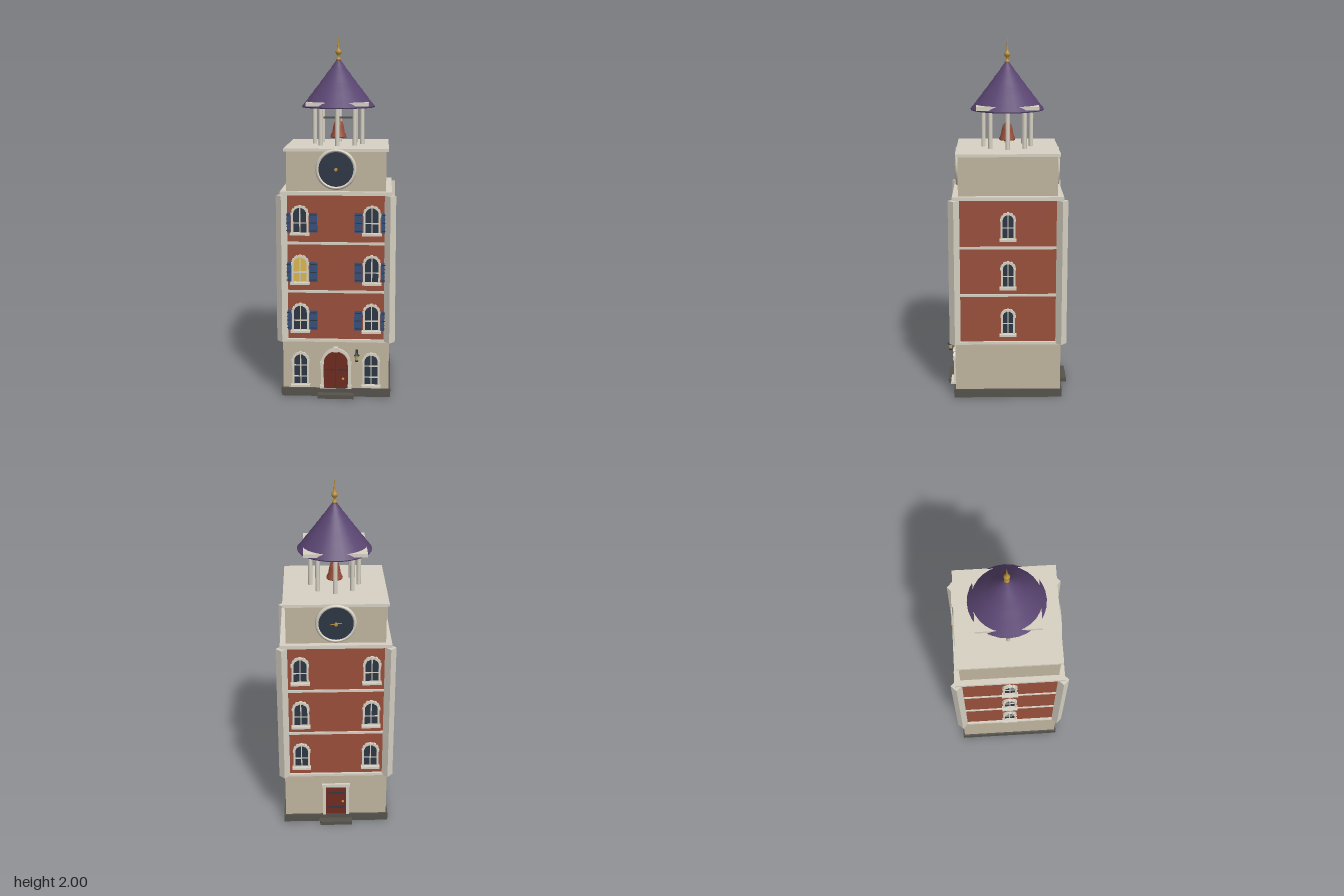
import * as THREE from 'three';

const mat = (name, color, extra = {}) => {
  const m = new THREE.MeshStandardMaterial({ color, ...extra });
  m.name = name;
  return m;
};

export function createModel() {
  const M = {
    stone: mat('stone', 0xc0b59f),
    trim: mat('pale trim', 0xd8d2c4),
    brick: mat('brick', 0x9a4f3b),
    slate: mat('dark slate', 0x56534d),
    roof: mat('purple roof', 0x594470, { side: THREE.DoubleSide }),
    glass: mat('dark glass', 0x2c3644),
    gold: mat('brass', 0xb8903a),
    lit: mat('lit window', 0xdcb850),
    blue: mat('shutter blue', 0x35507c),
    door: mat('door red', 0x6f2c1f),
  };
  const root = new THREE.Group();
  root.name = 'clockTower';

  const add = (parent, name, geo, m, x = 0, y = 0, z = 0) => {
    const mesh = new THREE.Mesh(geo, m);
    mesh.name = name;
    mesh.position.set(x, y, z);
    parent.add(mesh);
    return mesh;
  };
  const box = (p, name, m, w, h, d, x, y, z) => add(p, name, new THREE.BoxGeometry(w, h, d), m, x, y, z);
  // box standing on y0, reaching y1, square in plan
  const slab = (name, m, half, y0, y1) => box(root, name, m, half * 2, y1 - y0, half * 2, 0, (y0 + y1) / 2, 0);
  const group = (parent, name, x, y, z) => {
    const g = new THREE.Group();
    g.name = name;
    g.position.set(x, y, z);
    parent.add(g);
    return g;
  };

  // Round-headed outline; h is the full height
  const trace = (path, r, y0, h) => {
    path.moveTo(-r, y0);
    path.lineTo(r, y0);
    path.lineTo(r, h - r);
    path.absarc(0, h - r, r, 0, Math.PI, false);
    path.lineTo(-r, y0);
    return path;
  };
  const extrude = (shape, depth) =>
    new THREE.ExtrudeGeometry(shape, { depth, bevelEnabled: false, curveSegments: 10 });
  const archPanel = (r, y0, h, depth) => extrude(trace(new THREE.Shape(), r, y0, h), depth);
  const archFrame = (ro, ri, y0, h, depth) => {
    const s = trace(new THREE.Shape(), ro, 0, h);
    s.holes.push(trace(new THREE.Path(), ri, y0, h - (ro - ri)));
    return extrude(s, depth);
  };

  // Wall groups: local +z points out of each face
  const walls = [0, 1, 2, 3].map((i) => {
    const g = group(root, ['frontWall', 'leftWall', 'backWall', 'rightWall'][i], 0, 0, 0);
    g.rotation.y = i * Math.PI / 2;
    return g;
  });

  // Arched window with voussoirs, glazing bars and sill
  const addWindow = (wall, x, y, z, ro, h, glass, bars) => {
    const g = group(wall, 'window', x, y, z);
    const ri = ro - 0.011, spring = h - ro;
    add(g, 'windowFrame', archFrame(ro, ri, 0.008, h, 0.014), M.trim);
    add(g, 'windowPane', archPanel(ri + 0.001, 0.008, h - 0.01, 0.004), glass);
    box(g, 'glazingBar', M.trim, 0.006, h - 0.015, 0.004, 0, h / 2, 0.006);
    bars.forEach((t) => box(g, 'glazingBar', M.trim, ri * 2, 0.006, 0.004, 0, spring * t, 0.006));
    for (let i = 0; i < 7; i++) {
      const a = (i / 6) * Math.PI;
      const v = box(g, 'archStone', M.trim, 0.014, 0.013, 0.018,
        Math.cos(a) * (ro - 0.004), spring + Math.sin(a) * (ro - 0.004), 0.009);
      v.rotation.z = a;
    }
    box(g, 'windowSill', M.trim, ro * 2 + 0.013, 0.012, 0.03, 0, 0, 0.015);
  };

  // Slatted shutter
  const addShutter = (x, y) => {
    const g = group(walls[0], 'shutter', x, y, 0.293);
    box(g, 'shutterPanel', M.blue, 0.044, 0.108, 0.012, 0, 0, 0);
    for (let i = -2; i <= 2; i++) box(g, 'shutterSlat', i % 2 ? M.blue : M.glass, 0.036, 0.005, 0.004, 0, i * 0.022, 0.007);
  };

  // Tower mass
  slab('plinth', M.slate, 0.305, 0, 0.047);
  slab('groundFloor', M.stone, 0.295, 0.047, 0.315);
  slab('baseBand', M.trim, 0.3, 0.315, 0.33);
  slab('brickShaft', M.brick, 0.286, 0.33, 1.14);
  slab('floorBand', M.trim, 0.293, 0.594, 0.608);
  slab('floorBand', M.trim, 0.293, 0.866, 0.88);
  slab('cornice', M.trim, 0.304, 1.14, 1.16);
  slab('clockStage', M.stone, 0.272, 1.16, 1.376);
  slab('stageCap', M.trim, 0.285, 1.376, 1.392);
  for (const sx of [-1, 1]) for (const sz of [-1, 1]) {
    box(root, 'cornerPilaster', M.trim, 0.044, 0.82, 0.044, sx * 0.296, 0.73, sz * 0.296).rotation.y = Math.PI / 4;
  }

  // Windows on all floors
  const rows = [0.376, 0.65, 0.926];
  rows.forEach((y, row) => {
    for (const sx of [-1, 1]) {
      addWindow(walls[0], sx * 0.197, y, 0.286, 0.047, 0.156, row === 1 && sx < 0 ? M.lit : M.glass, [0.55]);
      addWindow(walls[2], sx * 0.197, y, 0.286, 0.047, 0.156, M.glass, [0.55]);
      for (const s of [-1, 1]) addShutter(sx * 0.197 + s * 0.073, y + 0.062);
    }
    for (const i of [1, 3]) addWindow(walls[i], 0, y - 0.005, 0.286, 0.04, 0.15, M.glass, [0.6]);
  });
  for (const sx of [-1, 1]) addWindow(walls[0], sx * 0.197, 0.064, 0.294, 0.047, 0.19, M.glass, [0.35, 0.8]);

  // Front door with arched surround
  const fd = group(walls[0], 'frontDoor', 0, 0.047, 0.294);
  add(fd, 'doorFrame', archFrame(0.084, 0.068, 0, 0.232, 0.016), M.trim);
  add(fd, 'doorLeaf', archPanel(0.069, 0, 0.217, 0.006), M.door);
  box(fd, 'doorSeam', M.glass, 0.003, 0.21, 0.003, 0, 0.106, 0.006);
  for (const s of [-1, 1]) {
    box(fd, 'doorStrap', M.glass, 0.05, 0.007, 0.004, s * 0.036, 0.108, 0.007);
    box(fd, 'doorImpost', M.trim, 0.022, 0.014, 0.022, s * 0.077, 0.148, 0.011);
    box(fd, 'doorFoot', M.trim, 0.022, 0.02, 0.022, s * 0.077, 0.01, 0.011);
  }
  box(fd, 'doorKeystone', M.trim, 0.024, 0.028, 0.022, 0, 0.226, 0.011);
  add(fd, 'doorKnob', new THREE.SphereGeometry(0.008, 10, 8), M.gold, 0.04, 0.055, 0.01);
  box(walls[0], 'frontStep', M.slate, 0.2, 0.022, 0.06, 0, 0.011, 0.316);

  // Back door with square surround
  const bd = group(walls[2], 'backDoor', 0, 0.047, 0.294);
  box(bd, 'doorLeaf', M.door, 0.122, 0.195, 0.012, 0, 0.0975, 0);
  box(bd, 'doorLintel', M.trim, 0.165, 0.02, 0.03, 0, 0.203, 0);
  for (const s of [-1, 1]) box(bd, 'doorJamb', M.trim, 0.018, 0.195, 0.024, s * 0.068, 0.0975, 0);
  for (const y of [0.05, 0.15]) box(bd, 'doorStrap', M.glass, 0.1, 0.007, 0.004, 0, y, 0.007);
  add(bd, 'doorKnob', new THREE.SphereGeometry(0.008, 10, 8), M.gold, 0.04, 0.09, 0.009);
  box(walls[2], 'backStep', M.slate, 0.188, 0.022, 0.06, 0, 0.011, 0.316);

  // Wall lantern
  const ln = group(walls[0], 'lantern', 0.117, 0, 0.332);
  const hex = (name, m, rt, rb, h, y) => add(ln, name, new THREE.CylinderGeometry(rt, rb, h, 6), m, 0, y, 0);
  hex('lanternRoof', M.glass, 0.004, 0.017, 0.016, 0.257);
  hex('lanternGlow', M.lit, 0.013, 0.009, 0.026, 0.236);
  hex('lanternBase', M.glass, 0.011, 0.008, 0.008, 0.219);
  box(ln, 'lanternBracket', M.glass, 0.006, 0.006, 0.04, 0, 0.266, -0.02);
  box(ln, 'lanternPlate', M.glass, 0.014, 0.045, 0.006, 0, 0.25, -0.036);

  // Clocks front and back
  for (const i of [0, 2]) {
    const c = group(walls[i], 'clock', 0, 1.28, 0.27);
    const rim = [[0.092, 0], [0.112, 0], [0.112, 0.012], [0.106, 0.022], [0.098, 0.022], [0.092, 0.012]]
      .map(([x, y]) => new THREE.Vector2(x, y));
    add(c, 'clockRim', new THREE.LatheGeometry(rim, 40), M.trim).rotation.x = Math.PI / 2;
    add(c, 'clockFace', new THREE.CylinderGeometry(0.095, 0.095, 0.016, 40), M.glass, 0, 0, 0.008).rotation.x = Math.PI / 2;
    add(c, 'clockHub', new THREE.CylinderGeometry(0.009, 0.009, 0.016, 12), M.gold, 0, 0, 0.022).rotation.x = Math.PI / 2;
    if (i) for (const s of [-1, 1]) box(c, 'clockHand', M.gold, 0.03, 0.006, 0.003, s * 0.016, s * 0.003, 0.018);
  }

  // Belfry columns, beam and bell
  for (let i = 0; i < 8; i++) {
    const a = i * Math.PI / 4;
    add(root, 'belfryColumn', new THREE.CylinderGeometry(0.0125, 0.0125, 0.225, 12), M.trim,
      Math.cos(a) * 0.134, 1.5, Math.sin(a) * 0.134);
  }
  box(root, 'bellBeam', M.slate, 0.17, 0.012, 0.014, 0, 1.54, 0);
  const bell = [[0, 1.535], [0.009, 1.535], [0.012, 1.522], [0.024, 1.514], [0.03, 1.49], [0.035, 1.46],
    [0.046, 1.435], [0.044, 1.428], [0.036, 1.428], [0.024, 1.48], [0, 1.505]].map(([x, y]) => new THREE.Vector2(x, y));
  add(root, 'bell', new THREE.LatheGeometry(bell.reverse(), 20), M.brick);
  add(root, 'bellClapper', new THREE.SphereGeometry(0.01, 10, 8), M.slate, 0, 1.432, 0);

  // Square eaves plate poking through the tiered conical roof
  box(root, 'eavesPlate', M.trim, 0.345, 0.02, 0.345, 0, 1.622, 0);
  const radii = [0.206, 0.172, 0.139, 0.105, 0.073, 0.04, 0.01];
  const step = 0.0435;
  for (let i = 0; i < 6; i++) {
    const y = 1.606 + i * step;
    add(root, 'roofTier', new THREE.CylinderGeometry(radii[i + 1] - 0.003, radii[i], step, 28), M.roof, 0, y + step / 2, 0);
  }
  add(root, 'roofEave', new THREE.CylinderGeometry(0.206, 0.204, 0.006, 28), M.roof, 0, 1.603, 0);

  // Finial
  const finial = [[0, 1.855], [0.014, 1.86], [0.014, 1.868], [0.006, 1.876], [0.007, 1.888], [0.015, 1.896], [0.017, 1.905],
    [0.015, 1.914], [0.007, 1.922], [0.005, 1.935], [0, 2]].map(([x, y]) => new THREE.Vector2(x, y));
  add(root, 'finial', new THREE.LatheGeometry(finial, 14), M.gold);

  return root;
}
